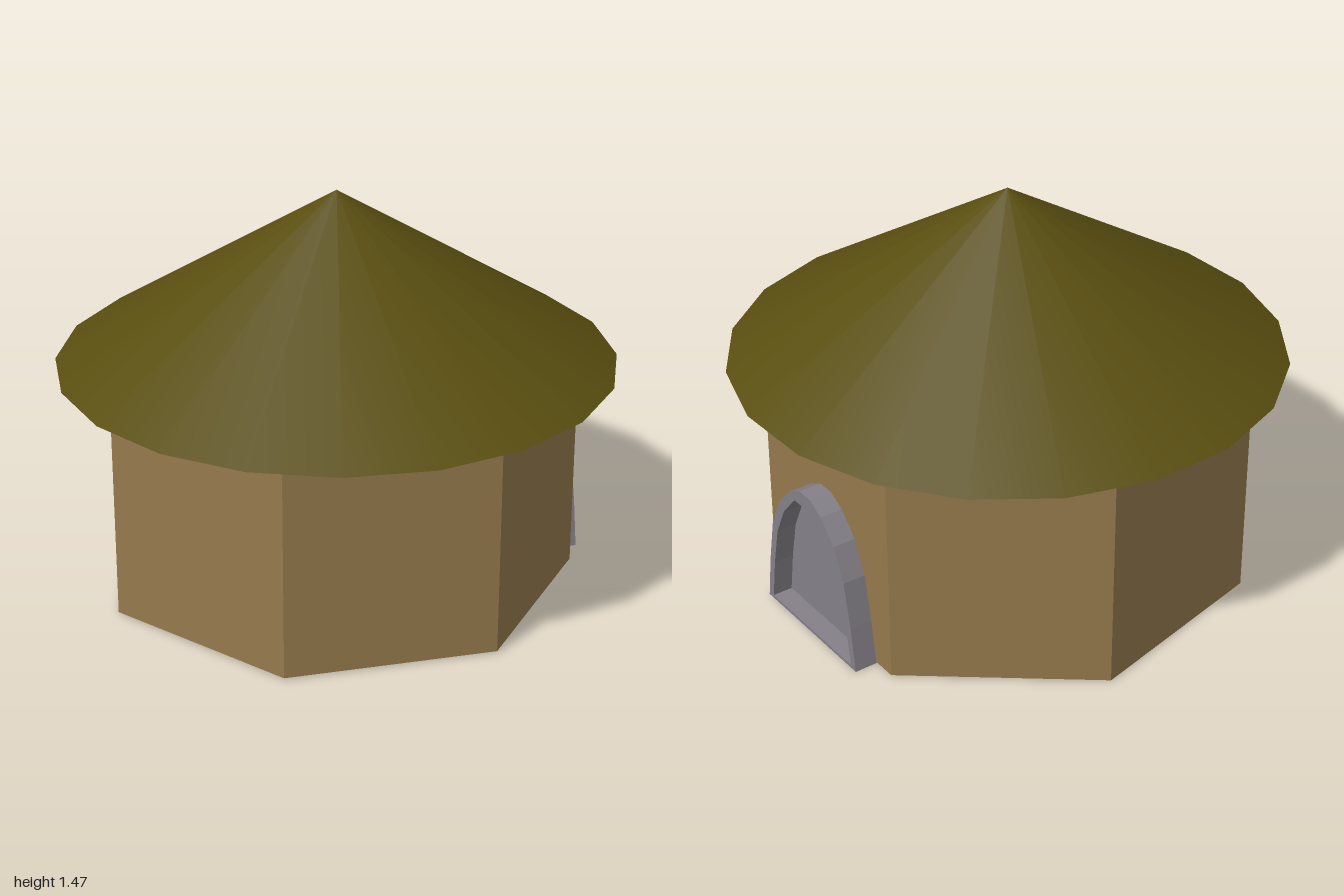
import * as THREE from 'three';

export function createModel() {
  const model = new THREE.Group();
  const wallMat = new THREE.MeshStandardMaterial({ color: 0x94794c, flatShading: true, side: THREE.DoubleSide });
  const roofMat = new THREE.MeshStandardMaterial({ color: 0x594e10, side: THREE.DoubleSide });
  const stoneMat = new THREE.MeshStandardMaterial({ color: 0x858088, flatShading: true, side: THREE.DoubleSide });

  const add = (parent, name, geometry, material) => {
    const mesh = new THREE.Mesh(geometry, material);
    mesh.name = name;
    parent.add(mesh);
    return mesh;
  };

  // Body: seven-sided open wall, set slightly back under the roof
  const SIDES = 7, RADIUS = 0.87;
  const body = new THREE.Group();
  body.name = 'body';
  body.position.z = -0.04;
  model.add(body);
  const wallGeo = new THREE.CylinderGeometry(RADIUS, RADIUS, 0.842, SIDES, 1, true, Math.PI / 2);
  add(body, 'wall', wallGeo, wallMat).position.y = 0.005 + 0.421;

  // Roof: wide smooth cone with a flat underside
  add(model, 'roof', new THREE.ConeGeometry(1, 0.623, 20), roofMat).position.y = 0.847 + 0.3115;

  // Doorway: pointed-arch frame through the middle of one wall panel
  const door = new THREE.Group();
  door.name = 'doorway';
  door.rotation.y = Math.PI / 2 + Math.PI / SIDES;
  body.add(door);
  const apothem = RADIUS * Math.cos(Math.PI / SIDES);

  // Mirror a right-hand [halfWidth, height] profile into a closed outline
  const outline = (half) => [
    ...half, ...half.slice().reverse().map(([x, y]) => [-x, y]),
  ].map(([x, y]) => new THREE.Vector2(x, y));
  const outer = outline([[0.285, 0], [0.262, 0.17], [0.23, 0.34], [0.175, 0.46], [0.1, 0.54], [0.035, 0.575]]);
  const inner = outline([[0.255, 0.012], [0.232, 0.17], [0.2, 0.32], [0.148, 0.43], [0.07, 0.52]]);

  const frameShape = new THREE.Shape(outer);
  frameShape.holes.push(new THREE.Path(inner));
  const frameGeo = new THREE.ExtrudeGeometry(frameShape, { depth: 0.165, bevelEnabled: false });
  add(door, 'doorFrame', frameGeo, stoneMat).position.z = apothem - 0.08;

  // Recessed door panel
  add(door, 'doorPanel', new THREE.ShapeGeometry(new THREE.Shape(inner)), stoneMat).position.z = apothem + 0.01;

  return model;
}
